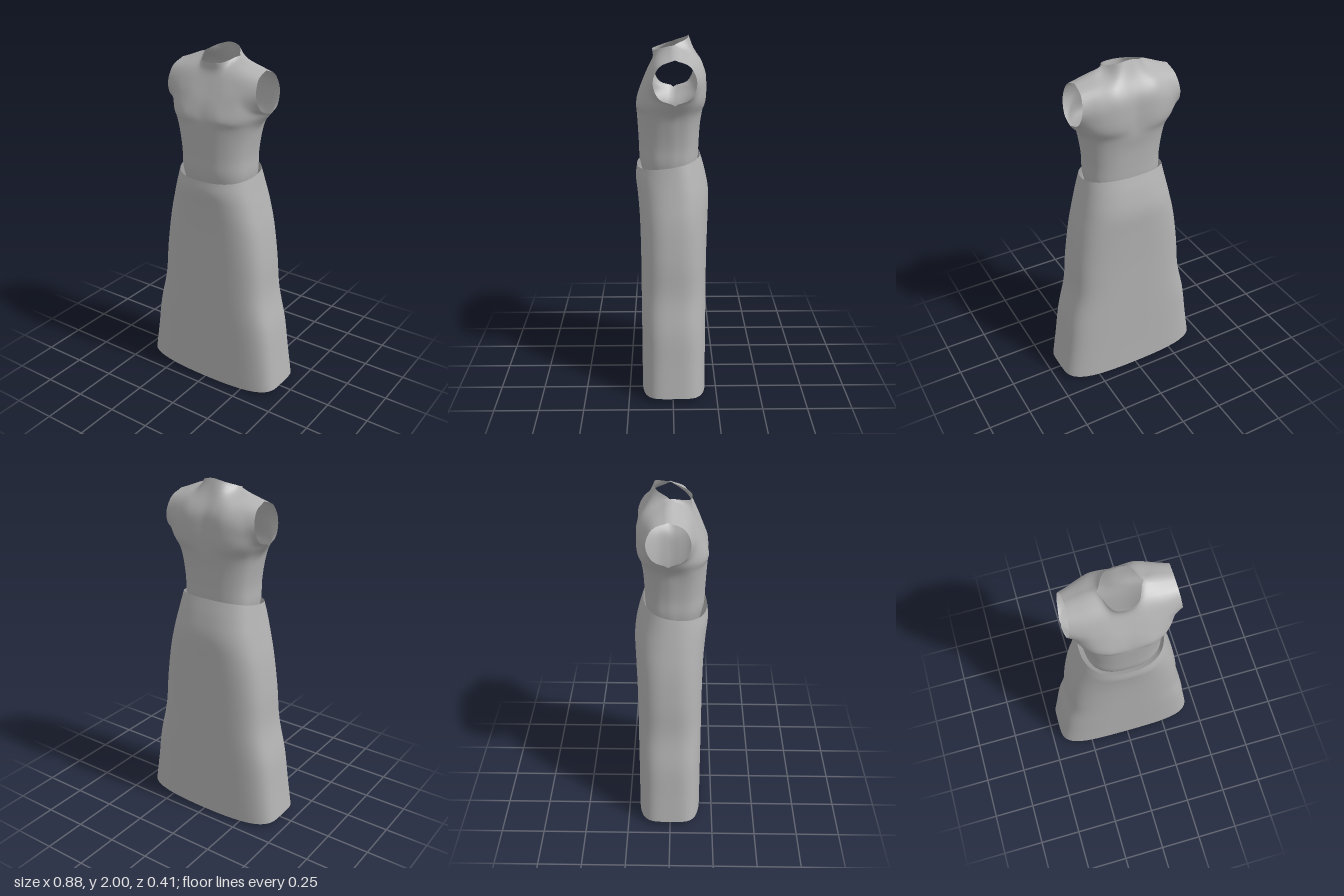
import * as THREE from 'three';
import { mergeVertices } from 'three/addons/utils/BufferGeometryUtils.js';

const cloth = new THREE.MeshStandardMaterial({ color: 0xb2b2b2, side: THREE.DoubleSide });
cloth.name = 'grey cloth';

// Smooth surface from a grid of points (rows of equal length)
function gridTriangles(grid, flip, positions, indices) {
  const base = positions.length / 3, n = grid[0].length;
  grid.forEach(row => row.forEach(p => positions.push(p.x, p.y, p.z)));
  for (let j = 0; j < grid.length - 1; j++) {
    for (let i = 0; i < n - 1; i++) {
      const a = base + j * n + i, b = a + 1, c = a + n, d = c + 1;
      if (flip) indices.push(a, c, b, b, c, d);
      else indices.push(a, b, c, b, d, c);
    }
  }
}

function makeMesh(name, grids) {
  const positions = [], indices = [];
  grids.forEach(([grid, flip]) => gridTriangles(grid, flip, positions, indices));
  let geometry = new THREE.BufferGeometry();
  geometry.setAttribute('position', new THREE.Float32BufferAttribute(positions, 3));
  geometry.setIndex(indices);
  geometry = mergeVertices(geometry, 1e-4);
  geometry.computeVertexNormals();
  const mesh = new THREE.Mesh(geometry, cloth);
  mesh.name = name;
  return mesh;
}

const spline = pts => new THREE.CatmullRomCurve3(pts, false, 'catmullrom', 0.5);

// Resample rows of control points into a fine grid
function resample(rows, nu, nv) {
  const fine = rows.map(r => spline(r).getPoints(nu));
  const grid = Array.from({ length: nv + 1 }, () => []);
  for (let i = 0; i <= nu; i++) {
    spline(fine.map(r => r[i])).getPoints(nv).forEach((p, j) => grid[j].push(p));
  }
  return grid;
}

// Waist to underbust: height, half width, front depth, back depth
const torso = [
  [1.25, 0.200, 0.165, -0.130],
  [1.33, 0.213, 0.183, -0.142],
  [1.42, 0.214, 0.187, -0.146],
  [1.52, 0.227, 0.192, -0.152],
  [1.60, 0.246, 0.197, -0.164],
];
const stations = [0, 0.25, 0.5, 0.75, 0.93, 1];

// Armpit to shoulder, each row running from the centre to the armhole
const chest = [
  [[0, 1.65, 0.195], [0.06, 1.65, 0.198], [0.12, 1.65, 0.195], [0.19, 1.65, 0.165], [0.25, 1.66, 0.10], [0.302, 1.67, -0.01]],
  [[0, 1.73, 0.172], [0.06, 1.73, 0.173], [0.12, 1.73, 0.168], [0.19, 1.73, 0.15], [0.24, 1.715, 0.118], [0.297, 1.704, 0.071]],
  [[0, 1.81, 0.136], [0.055, 1.81, 0.137], [0.11, 1.81, 0.136], [0.18, 1.80, 0.13], [0.235, 1.79, 0.12], [0.285, 1.785, 0.105]],
  [[0, 1.88, 0.107], [0.06, 1.885, 0.102], [0.11, 1.895, 0.085], [0.17, 1.885, 0.084], [0.22, 1.875, 0.08], [0.275, 1.866, 0.071]],
  [[0, 1.927, 0.11], [0.067, 1.932, 0.088], [0.115, 1.957, -0.005], [0.17, 1.938, -0.01], [0.22, 1.918, -0.01], [0.27, 1.90, -0.01]],
];
const shoulders = [
  [[0, 1.66, -0.168], [0.06, 1.66, -0.174], [0.12, 1.66, -0.175], [0.19, 1.66, -0.155], [0.25, 1.665, -0.11], [0.302, 1.67, -0.01]],
  [[0, 1.74, -0.17], [0.06, 1.74, -0.178], [0.12, 1.74, -0.18], [0.19, 1.73, -0.163], [0.25, 1.715, -0.13], [0.297, 1.704, -0.091]],
  [[0, 1.83, -0.163], [0.06, 1.83, -0.17], [0.12, 1.83, -0.17], [0.19, 1.81, -0.155], [0.24, 1.795, -0.138], [0.287, 1.785, -0.125]],
  [[0, 1.92, -0.118], [0.06, 1.915, -0.122], [0.12, 1.90, -0.12], [0.18, 1.885, -0.11], [0.23, 1.875, -0.10], [0.275, 1.866, -0.091]],
  [[0, 2.0, -0.087], [0.067, 1.985, -0.072], [0.115, 1.957, -0.005], [0.17, 1.938, -0.01], [0.22, 1.918, -0.01], [0.27, 1.90, -0.01]],
];

function bodicePanel(upper, depthColumn) {
  const lower = torso.map(r => stations.map(f =>
    [r[1] * f, r[0], r[depthColumn] * Math.pow(1 - Math.pow(f, 2.5), 1 / 2.5)]));
  const rows = [...lower, ...upper].map(half => {
    const left = half.map(p => new THREE.Vector3(...p));
    const right = half.slice(1).reverse().map(([x, y, z]) => new THREE.Vector3(-x, y, z));
    return [...right, ...left];
  });
  return resample(rows, 40, 36);
}

function createBodice() {
  const front = bodicePanel(chest, 2), back = bodicePanel(shoulders, 3);
  // Join the panels along the side and shoulder seams; neck and armholes stay open
  for (let j = 0; j <= 36; j++) {
    for (let i = 0; i <= 40; i++) {
      const side = (i === 0 || i === 40) && j <= 20;
      const shoulder = j === 36 && (i <= 12 || i >= 28);
      if (side || shoulder) {
        front[j][i].lerp(back[j][i], 0.5);
        back[j][i].copy(front[j][i]);
      }
    }
  }
  return makeMesh('bodice', [[front, false], [back, true]]);
}

// Hem to waistband: height, half width, front depth, back depth, squareness, hem lift, rim slope
const skirtRings = [
  [0.00, 0.442, 0.178, -0.190, 4.5, 0.03, 0],
  [0.20, 0.417, 0.178, -0.190, 4.2, 0.01, 0],
  [0.40, 0.392, 0.179, -0.191, 3.9, 0, 0],
  [0.60, 0.348, 0.180, -0.192, 3.6, 0, 0],
  [0.80, 0.332, 0.181, -0.194, 3.3, 0, 0],
  [1.00, 0.305, 0.186, -0.200, 3.0, 0, 0],
  [1.14, 0.275, 0.197, -0.203, 2.7, 0, 0],
  [1.24, 0.252, 0.206, -0.182, 2.5, 0, 0.015],
  [1.322, 0.234, 0.199, -0.154, 2.4, 0, 0.03],
];

function createSkirt() {
  const segments = 72;
  const columns = [];
  for (let i = 0; i <= segments; i++) {
    const a = (i % segments) / segments * Math.PI * 2;
    const s = Math.sin(a), c = Math.cos(a);
    const points = skirtRings.map(([y, w, zf, zb, n, lift, slope]) => {
      const r = Math.pow(Math.abs(s) ** n + Math.abs(c) ** n, -1 / n);
      return new THREE.Vector3(w * s * r, y + lift * (s * r) ** 2 - slope * c * r, (c > 0 ? zf : -zb) * c * r);
    });
    columns.push(spline(points).getPoints(40));
  }
  const grid = columns[0].map((_, j) => columns.map(col => col[j]));
  return makeMesh('skirt', [[grid, false]]);
}

export function createModel() {
  const dress = new THREE.Group();
  dress.name = 'dress';
  dress.add(createBodice(), createSkirt());
  return dress;
}
